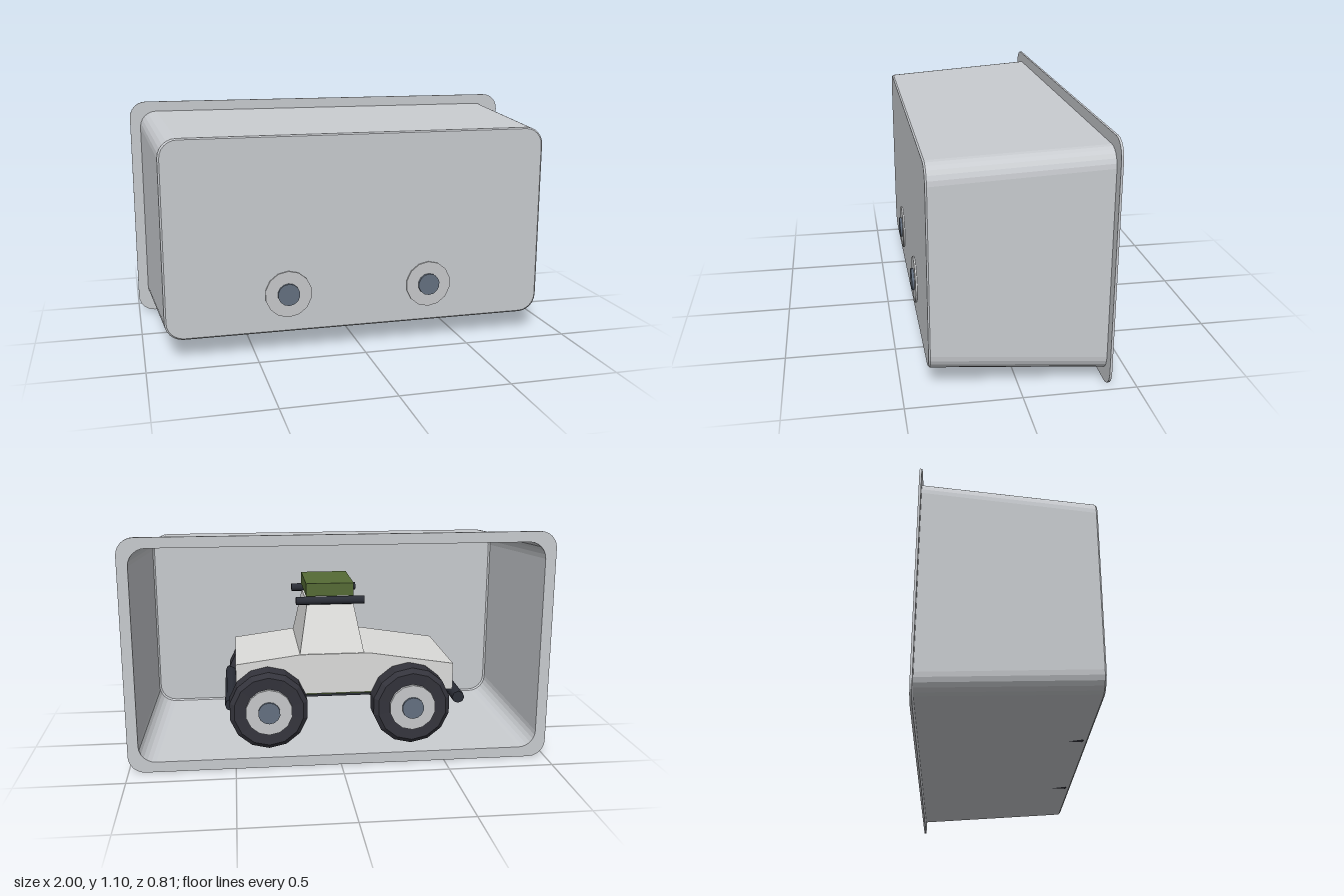
import * as THREE from 'three';

const paint = (name, color, extra = {}) => {
  const m = new THREE.MeshStandardMaterial({ color, ...extra });
  m.name = name;
  return m;
};

// Flat normals for low-poly parts
const faceted = (geo) => {
  const g = geo.index ? geo.toNonIndexed() : geo;
  g.computeVertexNormals();
  return g;
};

// Counter-clockwise outline of a rounded rectangle
function outline(halfW, y0, y1, r, seg = 6) {
  const pts = [];
  const corners = [[halfW - r, y0 + r, -1], [halfW - r, y1 - r, 0], [-halfW + r, y1 - r, 1], [-halfW + r, y0 + r, 2]];
  for (const [cx, cy, q] of corners) {
    for (let i = 0; i <= seg; i++) {
      const a = (q + i / seg) * Math.PI / 2;
      pts.push(new THREE.Vector2(cx + r * Math.cos(a), cy + r * Math.sin(a)));
    }
  }
  return pts;
}

// Wall between matching outlines, listed from low z to high z
function loft(rings) {
  const pos = [], index = [], n = rings[0].pts.length;
  for (const { pts, z } of rings) for (const p of pts) pos.push(p.x, p.y, z);
  for (let k = 0; k < rings.length - 1; k++) {
    for (let i = 0; i < n; i++) {
      const j = (i + 1) % n, a = k * n + i, b = k * n + j;
      index.push(a, b, b + n, a, b + n, a + n);
    }
  }
  const g = new THREE.BufferGeometry();
  g.setAttribute('position', new THREE.Float32BufferAttribute(pos, 3));
  g.setIndex(index);
  return faceted(g);
}

export function createModel() {
  const model = new THREE.Group();
  model.name = 'boxedTruck';
  const shellGrey = paint('shellGrey', 0xc8cbcf, { side: THREE.DoubleSide });
  const bodyWhite = paint('bodyWhite', 0xdcdcda);
  const hubGrey = paint('hubGrey', 0xc6c8ca);
  const tyreBlack = paint('tyreBlack', 0x34343c);
  const trimDark = paint('trimDark', 0x2b2e37);
  const capBlue = paint('capBlue', 0x647080);
  const green = paint('oliveGreen', 0x556b35);

  const add = (name, geo, mat, x = 0, y = 0, z = 0, parent = model) => {
    const m = new THREE.Mesh(geo, mat);
    m.name = name;
    m.position.set(x, y, z);
    parent.add(m);
    return m;
  };

  // Tapered tray, open at the back
  const tray = new THREE.Group();
  tray.name = 'tray';
  model.add(tray);
  const backRim = outline(0.95, 0.05, 1.055, 0.08);
  const panel = outline(0.9, 0.1, 1.005, 0.08);
  add('trayWalls', loft([
    { pts: backRim, z: -0.378 },
    { pts: outline(0.908, 0.093, 1.011, 0.085), z: 0.378 },
    { pts: panel, z: 0.385 },
  ]), shellGrey, 0, 0, 0, tray);
  add('trayFront', new THREE.ShapeGeometry(new THREE.Shape(panel)), shellGrey, 0, 0, 0.385, tray);
  const rim = new THREE.Shape(outline(1, 0, 1.104, 0.08));
  rim.holes.push(new THREE.Path([...backRim].reverse()));
  add('trayFlange', new THREE.ExtrudeGeometry(rim, { depth: 0.01, bevelEnabled: false }), shellGrey, 0, 0, -0.385, tray);

  // Truck body: side profile extruded across the width
  const truck = new THREE.Group();
  truck.name = 'truck';
  model.add(truck);
  const side = new THREE.Shape([
    [-0.56, 0.32], [0.49, 0.32], [0.49, 0.475], [0.185, 0.515], [-0.15, 0.515], [-0.56, 0.45],
  ].map(([x, y]) => new THREE.Vector2(x, y)));
  add('body', new THREE.ExtrudeGeometry(side, { depth: 0.53, bevelEnabled: false }), bodyWhite, 0, 0, -0.265, truck);

  // Cab: box narrowed towards the roof
  const cabGeo = new THREE.BoxGeometry(0.31, 0.235, 0.52);
  const p = cabGeo.attributes.position;
  for (let i = 0; i < p.count; i++) {
    if (p.getY(i) > 0) p.setXYZ(i, p.getX(i) * 0.72, p.getY(i), p.getZ(i) * 0.64);
  }
  add('cab', faceted(cabGeo), bodyWhite, 0.03, 0.626, 0, truck);

  // Roof rails and roof box
  for (const s of [-1, 1]) {
    const rail = add('roofRail', new THREE.CylinderGeometry(0.02, 0.02, 0.33, 8), trimDark, 0.03, 0.756, s * 0.168, truck);
    rail.rotation.z = Math.PI / 2;
  }
  add('roofBox', new THREE.BoxGeometry(0.23, 0.062, 0.315), green, 0.03, 0.806, 0, truck);

  // Underside plate and chassis
  add('underPlate', new THREE.BoxGeometry(0.96, 0.02, 0.46), green, -0.03, 0.314, 0, truck);
  add('chassis', new THREE.BoxGeometry(0.98, 0.05, 0.26), trimDark, -0.03, 0.285, 0, truck);

  // Bumpers
  for (const [name, x] of [['frontBumper', -0.585], ['rearBumper', 0.515]]) {
    const bar = add(name, new THREE.CylinderGeometry(0.03, 0.03, 0.58, 8), trimDark, x, 0.285, 0, truck);
    bar.rotation.x = Math.PI / 2;
  }

  // Wheels: tyre, hub disc and cap along each axle
  const tyreProfile = [[0, -0.07], [0.15, -0.07], [0.187, -0.05], [0.187, 0.05], [0.165, 0.07], [0.11, 0.066], [0, 0.066]]
    .map(([r, y]) => new THREE.Vector2(r, y));
  const tyreGeo = faceted(new THREE.LatheGeometry(tyreProfile, 14));
  for (const x of [-0.34, 0.34]) {
    const axle = add('axle', new THREE.CylinderGeometry(0.03, 0.03, 0.56, 8), trimDark, x, 0.275, 0, truck);
    axle.rotation.x = Math.PI / 2;
    for (const s of [-1, 1]) {
      const wheel = new THREE.Group();
      wheel.name = 'wheel';
      wheel.position.set(x, 0.275, s * 0.31);
      wheel.rotation.x = s * Math.PI / 2;
      truck.add(wheel);
      add('tyre', tyreGeo, tyreBlack, 0, 0, 0, wheel);
      add('hub', new THREE.CylinderGeometry(0.11, 0.11, 0.04, 14), hubGrey, 0, 0.063, 0, wheel);
      add('hubCap', new THREE.CylinderGeometry(0.052, 0.052, 0.04, 14), capBlue, 0, 0.075, 0, wheel);
    }
  }
  return model;
}
